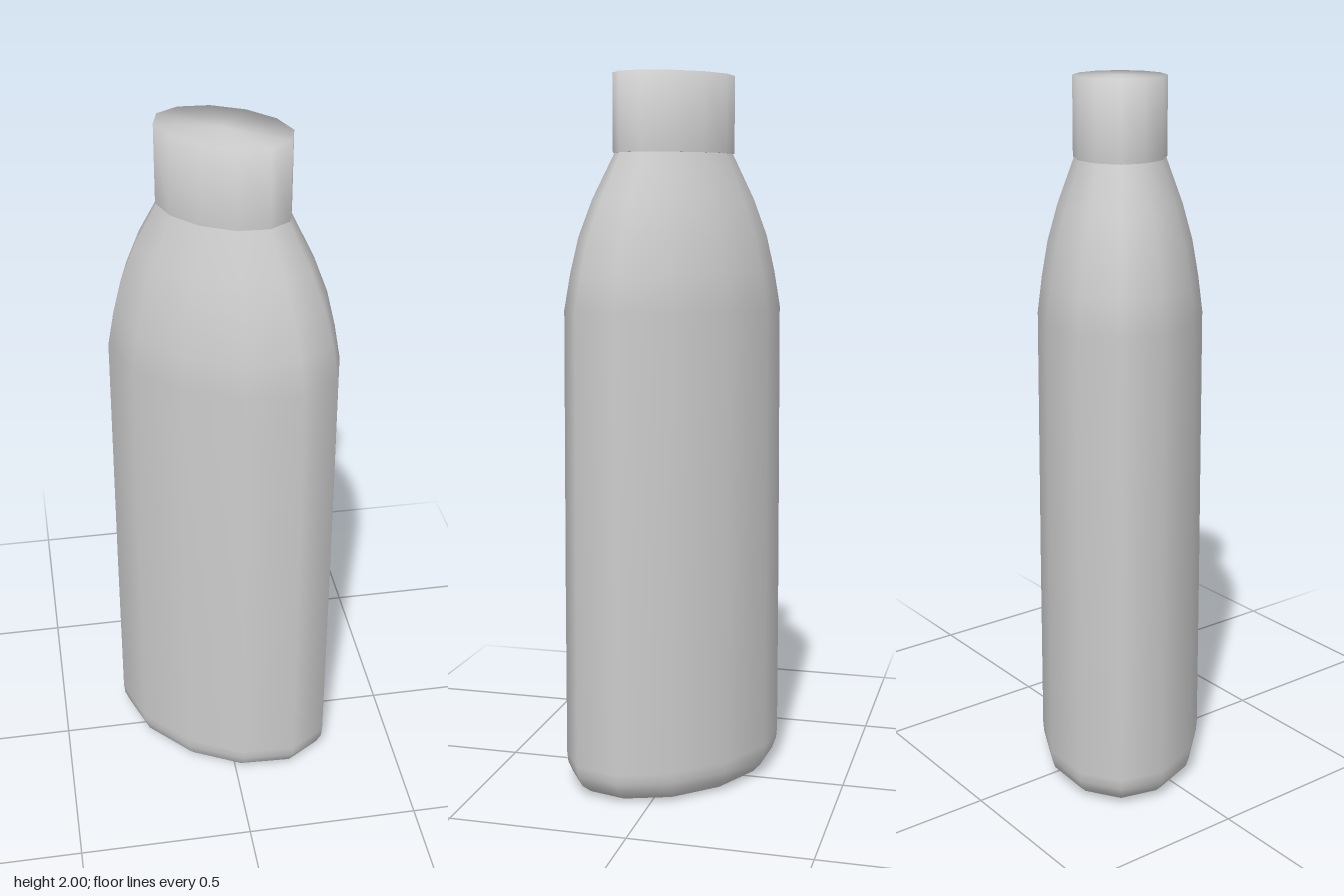
import * as THREE from 'three';

const SIDES = 12;

// Maps a unit circle to the slanted oval cross-section of the bottle.
const OVAL = new THREE.Matrix4().set(
  0.31, 0, 0.02, 0,
  0, 1, 0, 0,
  0.086, 0, 0.267, 0,
  0, 0, 0, 1
);

// Revolves a profile of [relative radius, height], listed bottom to top.
function ovalLathe(name, profile, material) {
  const points = profile.map(([r, y]) => new THREE.Vector2(r, y));
  const geometry = new THREE.LatheGeometry(points, SIDES);
  geometry.applyMatrix4(OVAL);
  const mesh = new THREE.Mesh(geometry, material);
  mesh.name = name;
  return mesh;
}

export function createModel() {
  const group = new THREE.Group();
  group.name = 'bottle';
  const material = new THREE.MeshStandardMaterial({ color: 0xcccccc });

  // Flat underside
  group.add(ovalLathe('base', [[0, 0], [0.78, 0]], material));

  // Rounded foot, slightly tapering wall and curved shoulder
  group.add(ovalLathe('body', [
    [0.78, 0], [0.87, 0.008], [0.95, 0.03], [0.99, 0.06], [1, 0.09],
    [0.995, 0.6], [0.98, 1.36], [0.925, 1.46], [0.85, 1.56],
    [0.73, 1.66], [0.53, 1.787]
  ], material));

  // Small overhang under the cap
  group.add(ovalLathe('capLip', [[0.5, 1.787], [0.545, 1.787]], material));

  // Closed cap, smoothly shaded over its rim
  group.add(ovalLathe('cap', [[0.545, 1.787], [0.545, 2], [0, 2]], material));

  return group;
}
